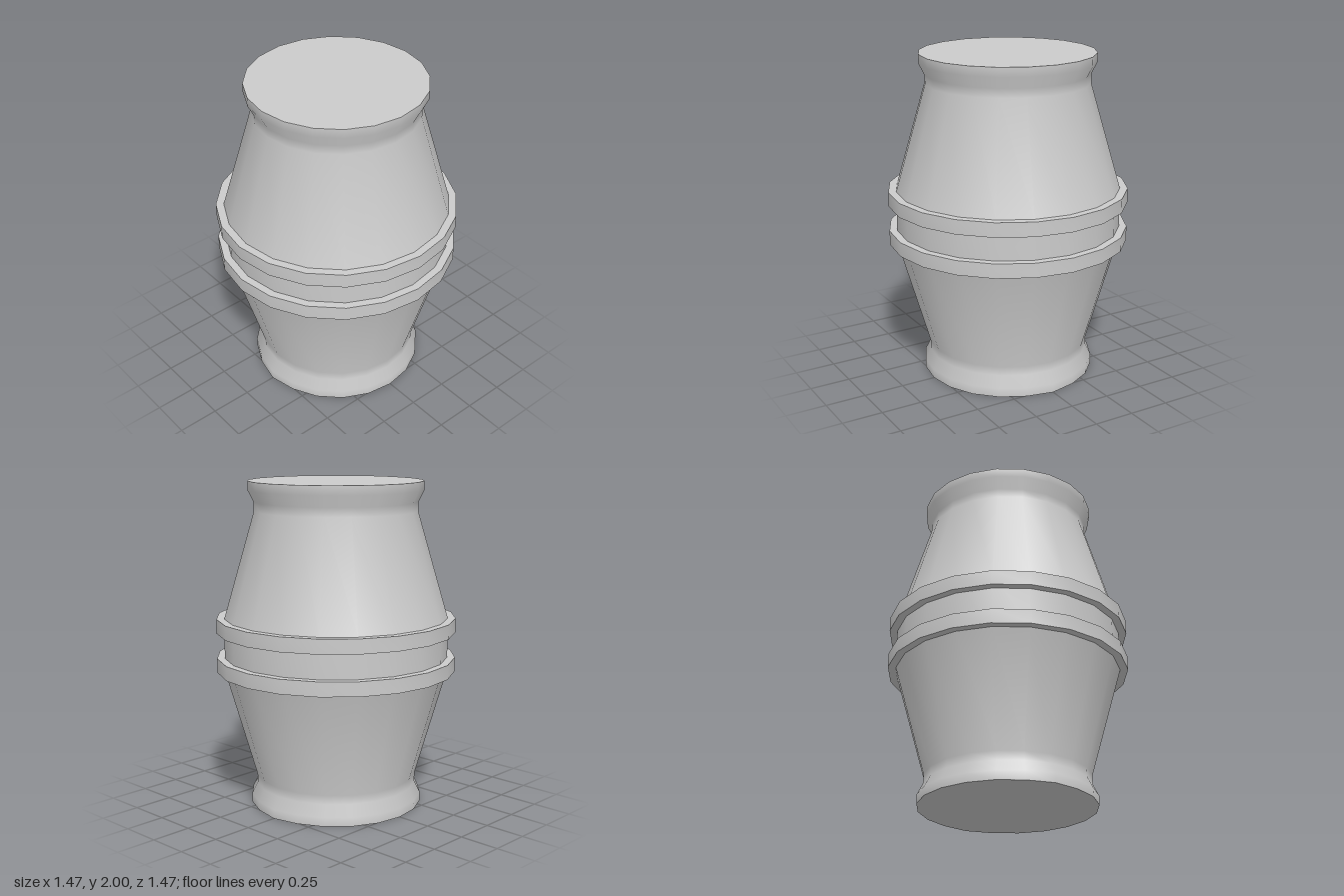
import * as THREE from 'three';
import { toCreasedNormals } from 'three/addons/utils/BufferGeometryUtils.js';

const SIDES = 20;
const material = new THREE.MeshStandardMaterial({ color: 0xcccccc });

// Turned part from a bottom-to-top profile of [radius, height]; edges sharper than 45 degrees stay crisp
function turned(name, profile, adjust) {
  const points = profile.map(([r, y]) => new THREE.Vector2(r, y));
  const lathe = new THREE.LatheGeometry(points, SIDES);
  if (adjust) adjust(lathe.attributes.position);
  const mesh = new THREE.Mesh(toCreasedNormals(lathe, Math.PI / 4), material);
  mesh.name = name;
  return mesh;
}

// The foot rim bulges very slightly at its two sides
function widenFoot(position) {
  for (let i = 0; i < position.count; i++) {
    const x = position.getX(i);
    if (position.getY(i) < 0.07 && Math.abs(x) > 0.525) position.setX(i, Math.sign(x) * 0.543);
  }
}

export function createModel() {
  const group = new THREE.Group();
  group.name = 'barrel';

  // Closed end, flared rim, neck and tapering wall
  const half = [[0, 0], [0.533, 0], [0.533, 0.055], [0.498, 0.125], [0.498, 0.18], [0.688, 0.845]];
  const upper = half.map(([r, y]) => [r, 2 - y]).reverse();
  upper[0][1] = 1.17;
  group.add(turned('lowerBody', half, widenFoot));
  group.add(turned('upperBody', upper));

  // Straight waist between the hoops
  group.add(turned('waist', [[0.688, 0.845], [0.688, 1.17]]));

  // Two raised hoops
  for (const [name, y] of [['lowerHoop', 0.842], ['upperHoop', 1.085]]) {
    const top = y + 0.088;
    group.add(turned(name, [[0.68, y], [0.735, y], [0.735, top], [0.68, top]]));
  }
  return group;
}
